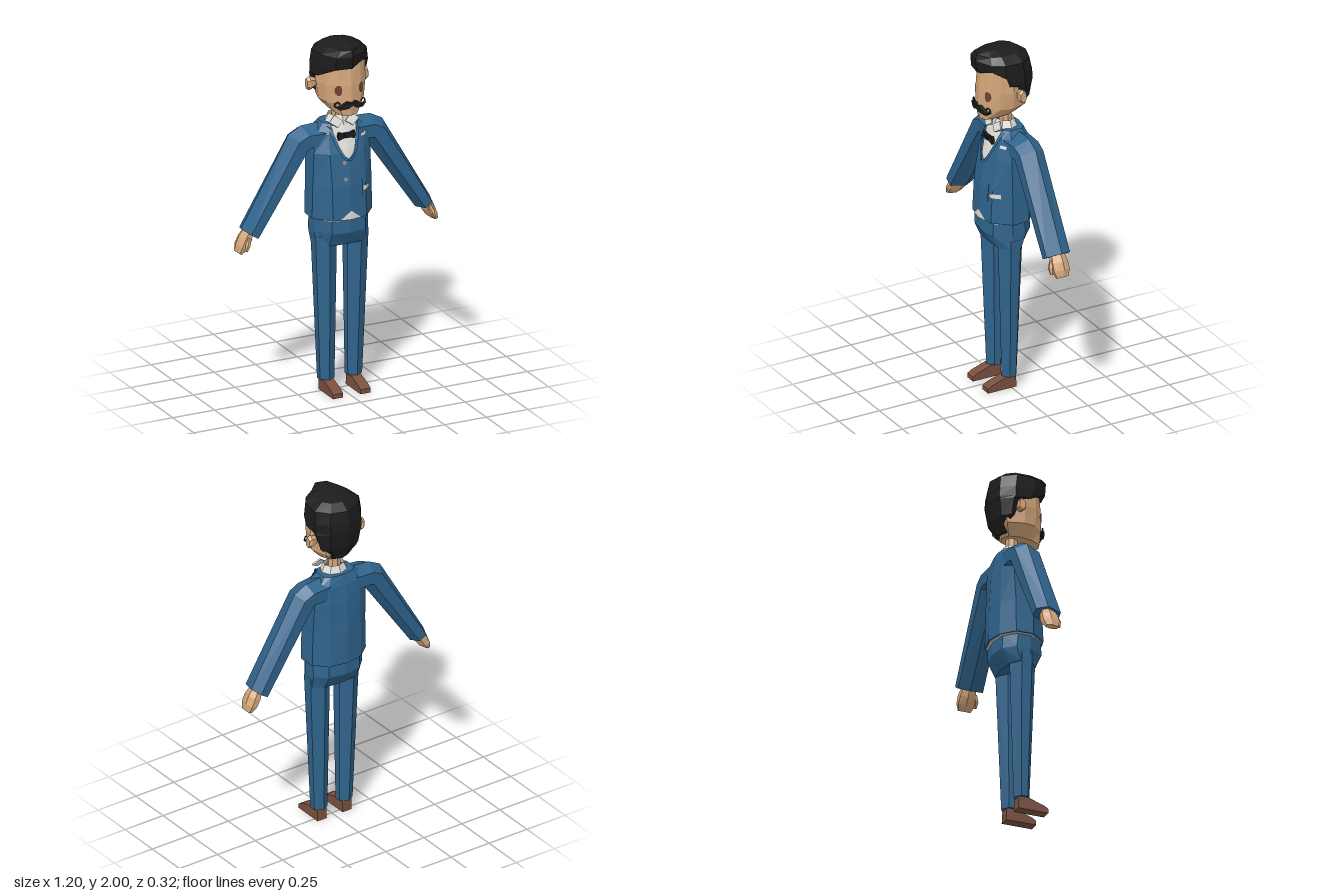
import * as THREE from 'three';

const mat = (name, color) => Object.assign(new THREE.MeshStandardMaterial({ color }), { name });
const V = (x, y, z) => new THREE.Vector3(x, y, z);

// Reverse every triangle of a non-indexed geometry
function flip(g) {
  const p = g.attributes.position, a = new THREE.Vector3(), b = new THREE.Vector3();
  for (let i = 0; i < p.count; i += 3) {
    a.fromBufferAttribute(p, i + 1); b.fromBufferAttribute(p, i + 2);
    p.setXYZ(i + 1, b.x, b.y, b.z); p.setXYZ(i + 2, a.x, a.y, a.z);
  }
  return g;
}

// Faceted solid through rings of points, capped at both ends and facing outward
function loft(rings) {
  const out = [], n = rings[0].length;
  const tri = (a, b, c) => out.push(a, b, c);
  for (let i = 0; i < rings.length - 1; i++) for (let j = 0; j < n; j++) {
    const k = (j + 1) % n, [r, s] = [rings[i], rings[i + 1]];
    tri(r[j], r[k], s[k]); tri(r[j], s[k], s[j]);
  }
  const mid = r => r.reduce((m, p) => m.add(p), V(0, 0, 0)).divideScalar(n);
  const first = rings[0], last = rings[rings.length - 1], m0 = mid(first), m1 = mid(last);
  for (let j = 0; j < n; j++) {
    const k = (j + 1) % n;
    tri(m0, first[k], first[j]); tri(m1, last[j], last[k]);
  }
  let volume = 0;
  for (let i = 0; i < out.length; i += 3) volume += out[i].dot(V(0, 0, 0).crossVectors(out[i + 1], out[i + 2]));
  const g = new THREE.BufferGeometry().setFromPoints(out);
  if (volume < 0) flip(g);
  g.computeVertexNormals();
  return g;
}

// Symmetric horizontal ring from [x, z, dy] points, front centre to back centre
function ring(y, pts) {
  const half = pts.map(([x, z, dy = 0]) => V(x, y + dy, z));
  return half.concat(half.slice(1, -1).reverse().map(p => V(-p.x, p.y, p.z)));
}

function mirrored(g) {
  const m = flip((g.index ? g.toNonIndexed() : g.clone()).scale(-1, 1, 1));
  m.computeVertexNormals();
  return m;
}

// Lay a flat xy geometry on the front of a mesh
function drape(g, target, lift) {
  const p = g.attributes.position, ray = new THREE.Raycaster();
  for (let i = 0; i < p.count; i++) {
    ray.set(V(p.getX(i), p.getY(i), 2), V(0, 0, -1));
    const hit = ray.intersectObject(target)[0];
    p.setZ(i, (hit ? hit.point.z : 0) + lift);
  }
  g.computeVertexNormals();
  return g;
}

const extrude = (pts, depth) => new THREE.ExtrudeGeometry(
  new THREE.Shape(pts.map(([x, y]) => new THREE.Vector2(x, y))), { depth, bevelEnabled: false });

export function createModel() {
  const group = new THREE.Group();
  const suit = mat('suit blue', 0x2f638c), skin = mat('skin', 0xd3a67a), black = mat('hair black', 0x1c1c1c);
  const white = mat('shirt white', 0xdcdad5), leather = mat('shoe brown', 0x79503e);
  const eyeBrown = mat('eye brown', 0x6b4232), button = mat('button grey', 0x948a84), dark = mat('pocket navy', 0x1b3a54);
  white.side = suit.side = THREE.DoubleSide;
  const add = (name, g, m) => {
    const mesh = new THREE.Mesh(g, m);
    mesh.name = name;
    group.add(mesh);
    return mesh;
  };
  const pair = (name, g, m) => { add('left' + name, g, m); add('right' + name, mirrored(g), m); };

  // Jacket, shirt hem and trouser seat
  const jacket = add('jacket', loft([
    ring(1.01, [[0, .14], [.1, .122], [.18, .03], [.176, -.07], [.1, -.135], [0, -.155]]),
    ring(1.2, [[0, .13], [.1, .112], [.176, .03], [.172, -.07], [.1, -.13], [0, -.152]]),
    ring(1.38, [[0, .1], [.1, .085], [.168, .03], [.168, -.08], [.1, -.125], [0, -.142]]),
    ring(1.48, [[0, .062], [.09, .052], [.15, .02], [.15, -.09], [.1, -.115], [0, -.125]]),
    ring(1.535, [[0, .035], [.07, .03], [.1, 0], [.1, -.07], [.07, -.095], [0, -.105]]),
  ]), suit);
  const hem = y => ring(y, [[0, .13], [.1, .112], [.17, .025], [.166, -.065], [.1, -.127], [0, -.146]]);
  add('shirtHem', loft([hem(1.004), hem(1.03)]), white);
  add('trouserSeat', loft([
    ring(1.02, [[0, .12], [.1, .105], [.16, .02], [.16, -.05], [.1, -.115], [0, -.13]]),
    ring(.93, [[0, .125], [.1, .11], [.16, .02], [.16, -.06], [.1, -.12], [0, -.135]]),
    ring(.85, [[0, .08], [.1, .075], [.155, .03], [.155, -.035], [.1, -.075], [0, -.085]]),
  ]), suit);

  // Legs
  const leg = (y, x, w, z) => [[0, z], [w, z * .4], [w, -z * .4], [0, -z], [-w, -z * .4], [-w, z * .4]]
    .map(([dx, dz]) => V(x + dx, y, dz));
  pair('TrouserLeg', loft([leg(.9, .095, .064, .076), leg(.07, .083, .043, .046)]), suit);

  // Shoes
  const shoe = extrude([[-.03, 0], [.145, 0], [.145, .025], [.12, .04], [.03, .07], [.02, .09], [-.025, .09]], .06);
  pair('Shoe', shoe.rotateY(-Math.PI / 2).translate(.112, 0, 0), leather);

  // Sleeves and hands: hexagonal sections across a path
  const hex = (x, y, angle, t, zh, zc = -.042) => {
    const nx = Math.sin(angle), ny = Math.cos(angle);
    return [[1, -.15], [.5, 1], [-.5, 1], [-1, -.15], [-.5, -1], [.5, -1]]
      .map(([u, v]) => V(x + nx * u * t, y + ny * u * t, zc + v * zh));
  };
  pair('Sleeve', loft([
    hex(.08, 1.45, .08, .078, .08, -.035), hex(.185, 1.45, .3, .073, .074),
    hex(.226, 1.433, .85, .073, .072), hex(.5225, .963, 1.01, .05, .072),
  ]), suit);
  pair('Hand', loft([
    hex(.52, .985, 1.0, .027, .034), hex(.548, .935, 1.05, .037, .046),
    hex(.57, .895, 1.1, .032, .047), hex(.588, .862, 1.1, .015, .034),
  ]), skin);
  pair('Thumb', loft([
    hex(.54, .95, 1, .015, .02, -.01), hex(.552, .915, 1, .015, .015, .008), hex(.565, .88, 1, .008, .008, .01),
  ]), skin);

  // Neck and head
  add('neck', new THREE.CylinderGeometry(.034, .038, .15, 8).toNonIndexed().translate(0, 1.575, -.022), skin).geometry.computeVertexNormals();
  const head = add('head', loft([
    ring(1.605, [[0, .135], [.045, .122, .003], [.065, .07, .01], [.07, 0, .015], [.05, -.06, .02], [0, -.08, .02]]),
    ring(1.68, [[0, .142], [.065, .122], [.11, .07], [.126, 0], [.1, -.09], [0, -.12]]),
    ring(1.78, [[0, .14], [.067, .12], [.12, .07], [.14, 0], [.11, -.1], [0, -.135]]),
    ring(1.9, [[0, .125], [.067, .11], [.116, .07], [.135, 0], [.1, -.1], [0, -.13]]),
    ring(1.95, [[0, .09], [.05, .08], [.08, .05], [.09, 0], [.07, -.07], [0, -.09]]),
  ]), skin);
  pair('Ear', loft([[.13, .6], [.165, 1], [.182, .75]].map(([x, s]) =>
    [...Array(6)].map((_, i) => V(x, 1.763 + .042 * s * Math.cos(i * Math.PI / 3), -.035 + .026 * s * Math.sin(i * Math.PI / 3))))), skin);

  // Hair, parted on the left
  const hairRings = [
    ring(1.64, [[0, -.06], [.03, -.06], [.05, -.065], [.056, -.075], [.045, -.09], [0, -.105]]),
    ring(1.72, [[0, -.05], [.06, -.05], [.112, -.05], [.126, -.075], [.09, -.12], [0, -.14]]),
    ring(1.81, [[0, -.04], [.08, -.04], [.138, -.03], [.148, -.07], [.1, -.132], [0, -.158]]),
    ring(1.825, [[0, 0], [.08, 0], [.145, .03], [.15, -.06], [.1, -.136], [0, -.163]]),
    ring(1.88, [[0, .15], [.09, .135], [.145, .05], [.151, -.06], [.1, -.132], [0, -.162]]),
    ring(1.95, [[0, .16], [.09, .14], [.137, .05], [.145, -.05], [.09, -.12], [0, -.148]]),
    ring(1.985, [[0, .15], [.06, .13], [.09, .05], [.09, -.04], [.06, -.08], [0, -.1]]),
    ring(2, [[0, .1], [.02, .09], [.03, .05], [.03, .02], [.02, 0], [0, -.02]]),
  ];
  for (const r of hairRings) for (const p of r) if (p.x > .05 && p.z > .1) {
    p.z -= .03;
    p.y += p.y < 1.9 ? .025 : -.005;
  }
  add('hair', loft(hairRings), black);

  // Eyes and moustache with curled ends
  for (const s of [1, -1]) {
    const eye = new THREE.CircleGeometry(1, 16).scale(.017, .03, 1).translate(.067 * s, 1.755, 0);
    add(s > 0 ? 'leftEye' : 'rightEye', drape(eye, head, .005), eyeBrown);
  }
  const bend = g => {
    const p = g.attributes.position;
    for (let i = 0; i < p.count; i++) p.setZ(i, p.getZ(i) + .136 - .3 * Math.abs(p.getX(i)));
    g.computeVertexNormals();
    return g;
  };
  pair('Moustache', bend(extrude([[0, 1.672], [.02, 1.655], [.045, 1.65], [.07, 1.648], [.092, 1.668],
    [.07, 1.66], [.05, 1.676], [.025, 1.692], [0, 1.684]], .024)), black);
  pair('MoustacheCurl', bend(new THREE.TorusGeometry(.014, .004, 5, 14, 4.7)
    .rotateZ(-1.6).translate(.077, 1.676, .012)), black);

  // Shirt front in the jacket opening, edged by lapels
  const opening = y => .078 * Math.sqrt(Math.max(0, (y - 1.35) / .18));
  const shirt = new THREE.PlaneGeometry(2, .175, 8, 8).translate(0, 1.4375, 0);
  const sp = shirt.attributes.position;
  for (let i = 0; i < sp.count; i++) sp.setX(i, sp.getX(i) * opening(sp.getY(i)));
  add('shirtFront', drape(shirt, jacket, .006), white);
  const lapel = new THREE.PlaneGeometry(1, .185, 1, 8).translate(.5, 1.4325, 0);
  const lp = lapel.attributes.position;
  for (let i = 0; i < lp.count; i++) lp.setX(i, opening(lp.getY(i)) - .003 + lp.getX(i) * .02);
  pair('Lapel', drape(lapel, jacket, .012), suit);

  // Collar and bow tie
  const collar = new THREE.CylinderGeometry(.058, .085, .055, 8, 1, true).toNonIndexed().scale(1, 1, .85).translate(0, 1.548, -.02);
  collar.computeVertexNormals();
  add('collar', collar, white);
  pair('CollarWing', extrude([[.006, 1.545], [.05, 1.583], [.09, 1.55], [.045, 1.515]], .008)
    .translate(0, -1.55, 0).rotateX(-.5).translate(0, 1.55, .048), white);
  pair('BowLoop', extrude([[0, 1.467], [.048, 1.452], [.052, 1.475], [.048, 1.496], [0, 1.482]], .016).translate(0, 0, .072), black);
  add('bowKnot', new THREE.BoxGeometry(.022, .024, .024).translate(0, 1.475, .082), black);

  // Buttons, pockets and the glimpse of shirt at the hem
  for (const y of [1.33, 1.24])
    add('jacketButton', drape(new THREE.CircleGeometry(.011, 10).translate(-.025, y, 0), jacket, .006), button);
  const plate = (name, x, y, w, h, m) =>
    add(name, drape(new THREE.PlaneGeometry(w, h, 6, 3).translate(x, y, 0), jacket, .006), m);
  plate('pocketSquare', .115, 1.455, .036, .016, white);
  plate('pocketTrim', .109, 1.173, .056, .024, white);
  plate('pocketEdge', .075, 1.182, .007, .1, dark);
  const hemGap = new THREE.PlaneGeometry(2, .048, 4, 3).translate(0, 1.036, 0);
  const hp = hemGap.attributes.position;
  for (let i = 0; i < hp.count; i++) hp.setX(i, hp.getX(i) * (1.062 - hp.getY(i)) * 1.25);
  add('shirtTail', drape(hemGap, jacket, .005), white);

  return group;
}
